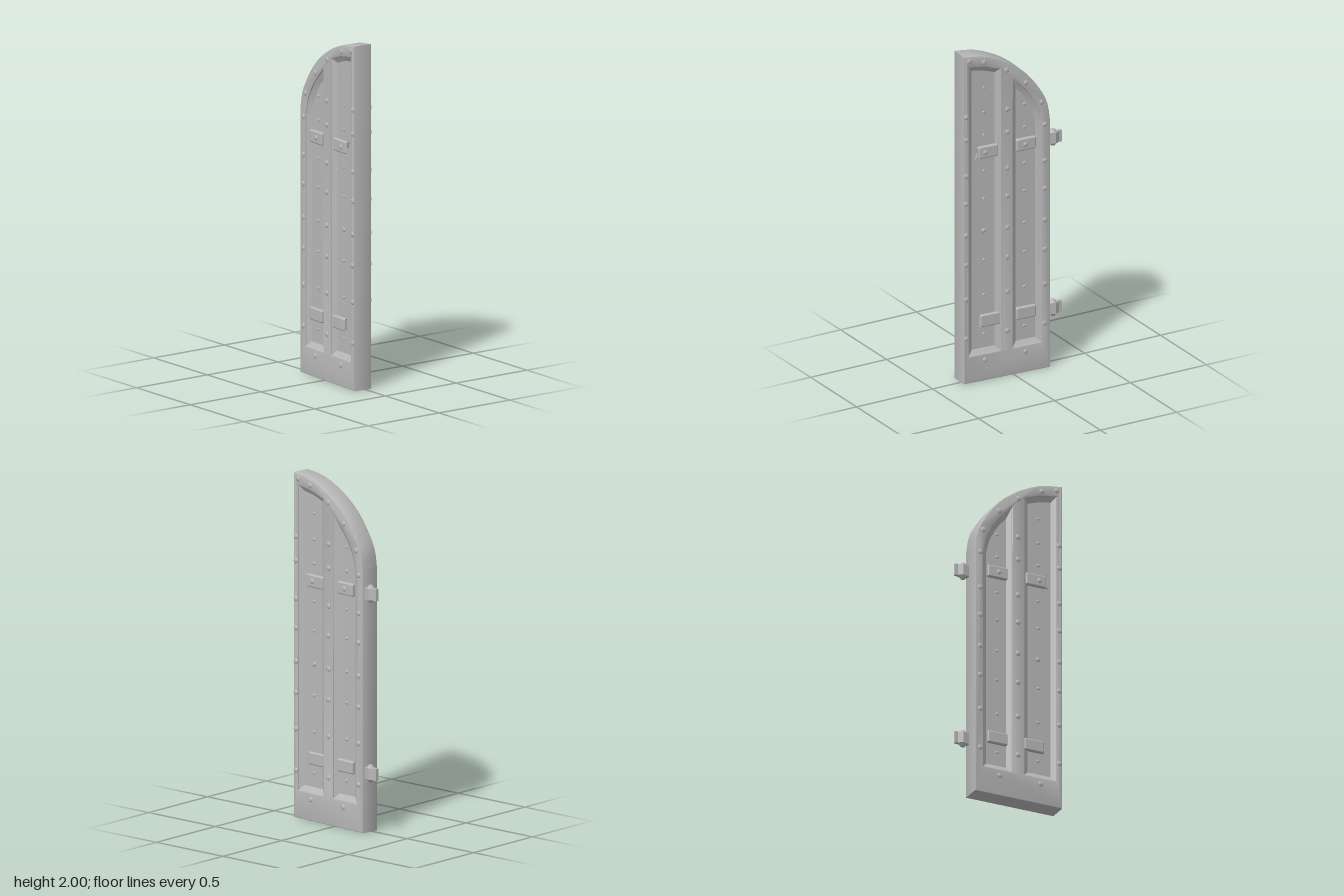
import * as THREE from 'three';
import { mergeGeometries, toCreasedNormals } from 'three/addons/utils/BufferGeometryUtils.js';
import { RoundedBoxGeometry } from 'three/addons/geometries/RoundedBoxGeometry.js';

const V = (x, y) => new THREE.Vector2(x, y);
const HALF = 0.059;     // half the leaf thickness
const BEVEL = 0.007;    // softened leaf edge
const FLOOR = 0.034;    // height of the sunken panel faces
const ROWS = [0.276, 0.515, 0.727, 0.907, 1.1, 1.27, 1.49, 1.63];

// Offsets a counter-clockwise outline inwards by d
function inset(pts, d) {
  return pts.map((p, i) => {
    const a = pts[(i + pts.length - 1) % pts.length], b = pts[(i + 1) % pts.length];
    const e1 = p.clone().sub(a).normalize(), e2 = b.clone().sub(p).normalize();
    const n1 = V(-e1.y, e1.x), n2 = V(-e2.y, e2.x);
    return n1.clone().add(n2).multiplyScalar(d / (1 + n1.dot(n2))).add(p);
  });
}

// Sunken panel: sloped rim plus flat floor; side is +1 or -1
function panelGeometry(outer, side) {
  const inner = inset(outer, 0.028), n = outer.length, pos = [], index = [];
  const top = HALF - BEVEL;
  outer.forEach(p => pos.push(p.x, p.y, side * top));
  inner.forEach(p => pos.push(p.x, p.y, side * FLOOR));
  const tri = (a, b, c) => side > 0 ? index.push(a, b, c) : index.push(a, c, b);
  for (let i = 0; i < n; i++) {
    const j = (i + 1) % n;
    tri(i, j, n + j);
    tri(i, n + j, n + i);
  }
  THREE.ShapeUtils.triangulateShape(inner, []).forEach(([a, b, c]) => tri(n + a, n + b, n + c));
  const geo = new THREE.BufferGeometry();
  geo.setAttribute('position', new THREE.Float32BufferAttribute(pos, 3));
  geo.setIndex(index);
  return toCreasedNormals(geo, 0.4);
}

// Domed nail head standing out from a face
function nail(u, y, z, r, side) {
  const geo = new THREE.SphereGeometry(1, 8, 3, 0, Math.PI * 2, 0, Math.PI / 2);
  geo.scale(r, Math.min(0.007, r * 0.6), r);
  geo.rotateX(side * Math.PI / 2);
  return geo.translate(u, y, side * z);
}

export function createModel() {
  const grey = new THREE.MeshStandardMaterial({ color: 0xb8b8b8, side: THREE.DoubleSide });
  grey.name = 'grey';
  const model = new THREE.Group();
  const leaf = new THREE.Group();
  leaf.name = 'doorLeaf';
  leaf.rotation.y = Math.PI / 2 - 0.06; // door stands slightly ajar
  model.add(leaf);
  const add = (name, geo, parent = leaf) => {
    const mesh = new THREE.Mesh(geo, grey);
    mesh.name = name;
    parent.add(mesh);
    return mesh;
  };

  // Arched frame with two openings
  const arch = new THREE.SplineCurve([V(0.235, 1.52), V(0.208, 1.645), V(0.105, 1.8),
    V(-0.02, 1.905), V(-0.175, 1.978), V(-0.315, 2)]).getPoints(30);
  const outline = [V(-0.315, 0), V(0.235, 0), ...arch];
  const rightArc = new THREE.SplineCurve([V(0.18, 1.5), V(0.157, 1.595), V(0.105, 1.69),
    V(0.05, 1.755), V(0, 1.805)]).getPoints(12);
  const openings = [
    [V(-0.28, 0.165), V(-0.08, 0.165), V(-0.08, 1.882), V(-0.18, 1.915), V(-0.28, 1.93)],
    [V(0, 0.165), V(0.18, 0.165), ...rightArc],
  ];
  const shape = new THREE.Shape(outline);
  openings.forEach(o => shape.holes.push(new THREE.Path(o)));
  const frame = new THREE.ExtrudeGeometry(shape, {
    depth: 2 * (HALF - BEVEL), bevelEnabled: true, bevelThickness: BEVEL,
    bevelSize: BEVEL, bevelOffset: -BEVEL, bevelSegments: 2,
  });
  frame.translate(0, 0, -(HALF - BEVEL));
  add('frame', toCreasedNormals(frame, 0.5));

  for (const side of [1, -1]) {
    const face = new THREE.Group();
    face.name = side > 0 ? 'outerFace' : 'innerFace';
    leaf.add(face);
    openings.forEach(o => add('panel', panelGeometry(o, side), face));

    // Strap plates across the panels
    for (const y of [0.361, 1.39]) {
      for (const u of [y > 1 ? -0.153 : -0.143, 0.086]) {
        add('strapPlate', new RoundedBoxGeometry(0.125, 0.074, 0.026, 2, 0.009), face)
          .position.set(u, y, side * (FLOOR + 0.007));
      }
      // Flared tail on the plate nearest the opening edge
      const u = y > 1 ? -0.2 : -0.175;
      const tail = new THREE.ExtrudeGeometry(new THREE.Shape([V(u, y - 0.025),
        V(u, y + 0.025), V(u - 0.032, y + 0.036), V(u - 0.022, y), V(u - 0.032, y - 0.036)]),
      { depth: 0.016, bevelEnabled: false });
      tail.translate(0, 0, side > 0 ? FLOOR - 0.004 : -FLOOR - 0.012);
      add('strapTail', tail, face);
    }

    // Nails on the stiles, rails and arch
    const nails = [];
    for (const y of ROWS) {
      for (const u of [-0.298, -0.037, y > 1.6 ? 0.18 : 0.2]) {
        nails.push(nail(u, y, HALF - 0.001, 0.017, side));
      }
    }
    for (const [u, y] of [[-0.28, 1.968], [-0.187, 1.945], [-0.042, 1.87], [0.08, 1.768],
      [-0.18, 0.125], [0.078, 0.125]]) nails.push(nail(u, y, HALF - 0.001, 0.017, side));
    add('frameNails', mergeGeometries(nails), face);

    // Smaller nails on the panels, larger ones through the upper straps
    const small = [];
    for (const y of ROWS) {
      for (const u of [-0.175, 0.083]) small.push(nail(u, y, FLOOR, u < 0 && y === 0.907 ? 0.015 : 0.01, side));
    }
    small.push(nail(-0.175, 1.78, FLOOR, 0.009, side));
    for (const u of [-0.175, 0.08]) small.push(nail(u, 1.39, FLOOR + 0.019, 0.016, side));
    add('panelNails', mergeGeometries(small), face);
  }

  // Hinges on the rounded stile: faceted barrel with end caps, and a wall block
  const section = new THREE.Shape([V(0.228, -0.014), V(0.275, -0.025), V(0.302, -0.01),
    V(0.302, 0.01), V(0.275, 0.025), V(0.228, 0.014)]);
  for (const y of [0.349, 1.39]) {
    const hinge = new THREE.Group();
    hinge.name = 'hinge';
    hinge.position.set(0, y, 0.028);
    leaf.add(hinge);
    const barrel = new THREE.ExtrudeGeometry(section, { depth: 0.066, bevelEnabled: false });
    barrel.rotateX(Math.PI / 2).translate(0, 0.033, 0);
    add('barrel', barrel, hinge);
    for (const s of [1, -1]) {
      const cap = new THREE.CylinderGeometry(s > 0 ? 0.012 : 0.024, s > 0 ? 0.024 : 0.012, 0.017, 6);
      add('barrelCap', cap, hinge).position.set(0.267, s * 0.0415, 0);
    }
    add('wallBlock', new THREE.BoxGeometry(0.04, 0.07, 0.02), hinge).position.set(0.299, 0, 0);
  }
  return model;
}
